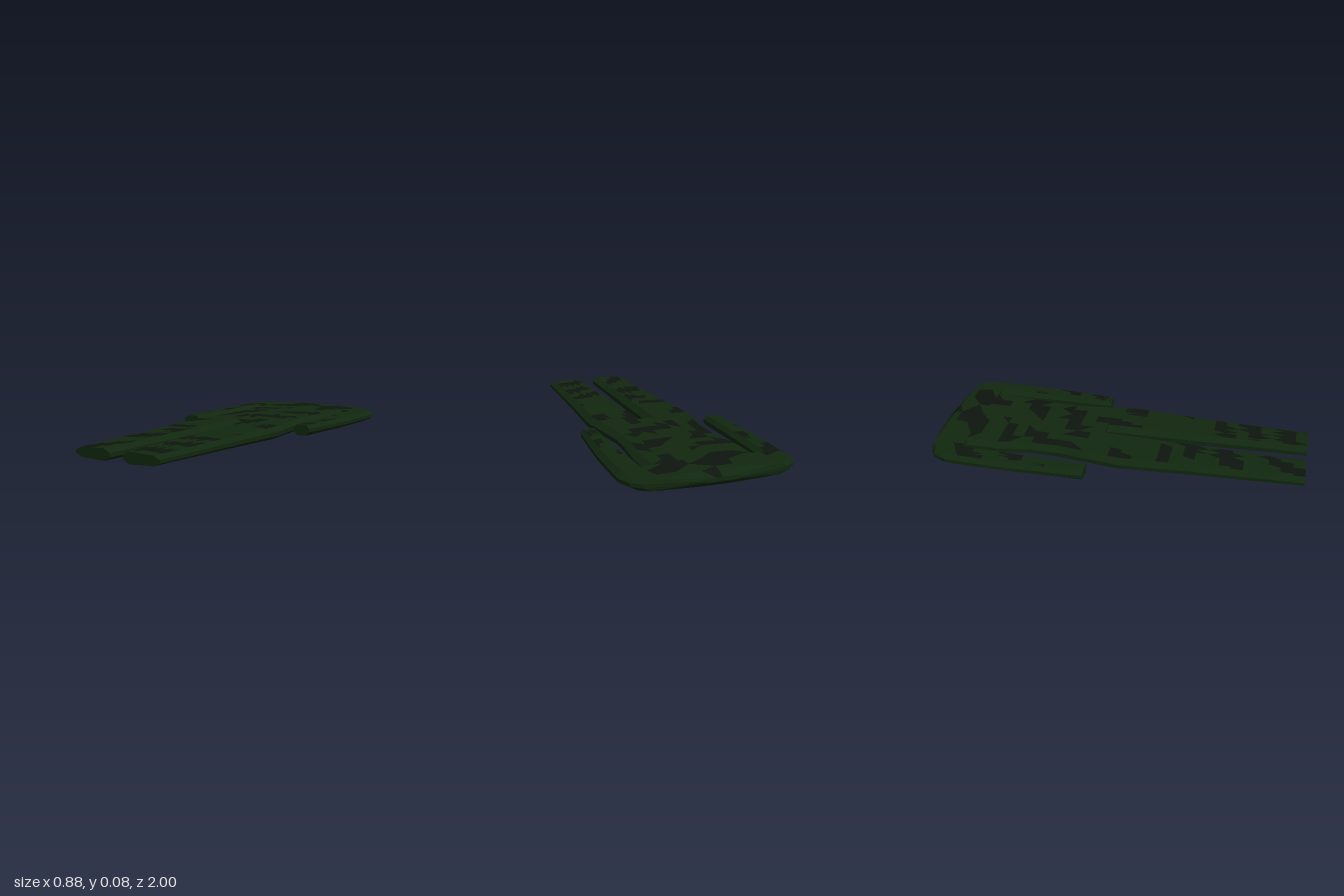
import * as THREE from 'three';

const ACROSS = 8; // facets across the upper face of every section
const MID = 0.04; // height of the side seam

// Half thickness: fullest along the centre, thinner to the sides and ankles
const half = (x, z) => 0.04 - 0.04 * Math.max(0, Math.abs(x) - 0.08) - 0.011 * Math.max(0, z);

// Slanted camouflage blotches on the upper face
function isDark(x, z) {
  const u = x * 0.75 - z * 0.65, v = x * 0.6 + z * 0.8;
  return Math.sin(v * 31 + 2 * Math.sin(u * 9)) + Math.sin(u * 13 + 1.7 * Math.sin(v * 17 + 1)) > 0.45;
}

// Closed cross-section: upper face left to right, then lower face back again
function section([z, x0, x1, scale = 1]) {
  const inset = Math.min(0.035, (x1 - x0) * 0.2);
  const upper = [], lower = [];
  for (let i = 0; i <= ACROSS; i++) {
    const x = x0 + inset + (x1 - x0 - 2 * inset) * i / ACROSS;
    const h = half(x, z) * scale;
    upper.push([x, MID + h, z]);
    lower.unshift([x, MID - h, z]);
  }
  const rim = (x, s) => [x, MID + s * 0.35 * half(x, z) * scale, z];
  return [rim(x0, 1), ...upper, rim(x1, 1), rim(x1, -1), ...lower, rim(x0, -1)];
}

// Adds evenly spaced rows between the given outline rows
function refine(rows) {
  const out = [rows[0]];
  for (let k = 1; k < rows.length; k++) {
    const a = rows[k - 1], b = rows[k];
    const n = Math.max(1, Math.round((b[0] - a[0]) / 0.065));
    for (let j = 1; j <= n; j++) {
      out.push([0, 1, 2, 3].map((i) => THREE.MathUtils.lerp(a[i] ?? 1, b[i] ?? 1, j / n)));
    }
  }
  return out;
}

// Lofts one garment part and splits its facets by cloth colour
function garment(name, rows, materials, capStart = false) {
  const rings = refine(rows).map(section);
  const facets = [[], []];
  const n = rings[0].length;
  const add = (a, b, c, patterned) => {
    const dark = patterned && isDark((a[0] + b[0] + c[0]) / 3, (a[2] + b[2] + c[2]) / 3);
    facets[dark ? 1 : 0].push(...a, ...b, ...c);
  };
  for (let k = 0; k < rings.length - 1; k++) {
    for (let i = 0; i < n; i++) {
      const j = (i + 1) % n;
      const a = rings[k][i], b = rings[k][j], c = rings[k + 1][j], d = rings[k + 1][i];
      const top = i > 0 && i <= ACROSS;
      if ((i + k) % 2) {
        add(a, d, c, top);
        add(a, c, b, top);
      } else {
        add(a, d, b, top);
        add(b, d, c, top);
      }
    }
  }
  const first = rings[0], last = rings[rings.length - 1];
  for (let i = 1; i < n - 1; i++) {
    add(last[0], last[i + 1], last[i], false);
    if (capStart) add(first[0], first[i], first[i + 1], false);
  }
  const group = new THREE.Group();
  group.name = name;
  facets.forEach((points, m) => {
    if (!points.length) return;
    const geometry = new THREE.BufferGeometry();
    geometry.setAttribute('position', new THREE.Float32BufferAttribute(points, 3));
    geometry.computeVertexNormals();
    const mesh = new THREE.Mesh(geometry, materials[m]);
    mesh.name = name + (m ? 'DarkPatches' : 'Cloth');
    group.add(mesh);
  });
  return group;
}

export function createModel() {
  const materials = [0x11270f, 0x0e140e].map((color) =>
    new THREE.MeshStandardMaterial({ color, flatShading: true, side: THREE.DoubleSide }));
  const model = new THREE.Group();
  model.name = 'flatSuit';

  // Rows are [z, left edge x, right edge x, thickness scale]
  model.add(garment('shoulders', [
    [-1, -0.1, 0.1, 0.25], [-0.965, -0.35, 0.36, 0.92], [-0.93, -0.4, 0.41],
    [-0.86, -0.433, 0.438], [-0.8, -0.435, 0.438],
  ], materials, true));

  model.add(garment('torso', [
    [-0.8, -0.277, 0.286], [-0.63, -0.277, 0.284], [-0.45, -0.25, 0.262],
    [-0.31, -0.248, 0.256], [-0.085, -0.275, 0.283],
  ], materials));

  // Sleeves
  model.add(garment('rightSleeve', [
    [-0.8, -0.435, -0.298], [-0.52, -0.44, -0.308], [-0.115, -0.425, -0.32],
  ], materials));
  model.add(garment('leftSleeve', [
    [-0.8, 0.288, 0.438], [-0.52, 0.296, 0.428], [-0.13, 0.298, 0.39],
  ], materials));

  // Trouser legs
  model.add(garment('rightLeg', [
    [-0.085, -0.275, -0.003], [0.04, -0.29, -0.007], [0.43, -0.265, -0.018], [1, -0.24, -0.034],
  ], materials));
  model.add(garment('leftLeg', [
    [-0.085, 0.012, 0.283], [0.04, 0.015, 0.3], [0.43, 0.027, 0.275], [1, 0.044, 0.252],
  ], materials));
  return model;
}
